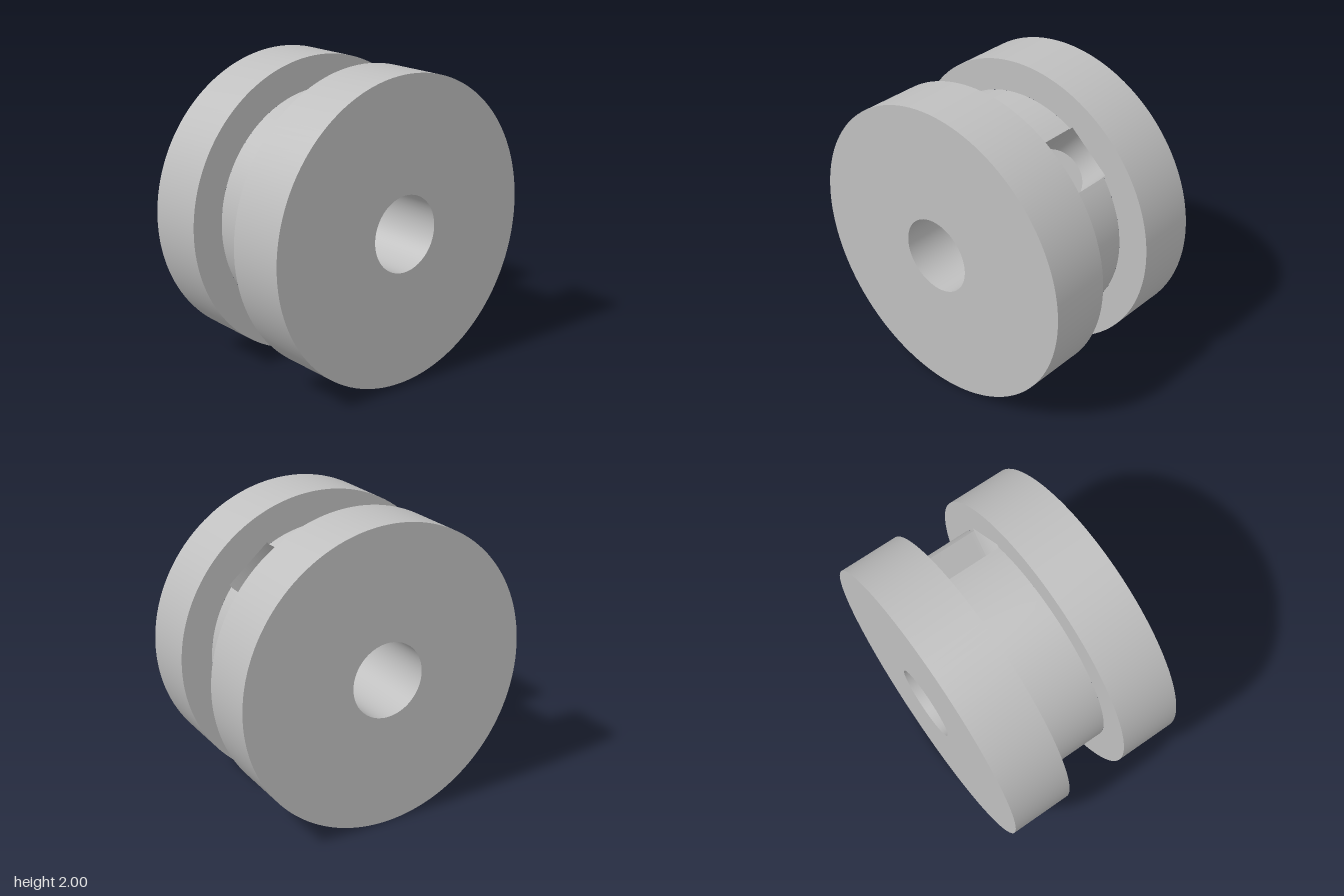
import * as THREE from 'three';
import { toCreasedNormals } from 'three/addons/utils/BufferGeometryUtils.js';

const R = 1, HUB = 0.79, BORE = 0.25;   // radii
const END = 0.62, GAP = 0.21;           // half width overall, half width of the groove
const W = 0.182, C = 0.178, FLOOR = 0.46; // slot half width, end-arc centre, floor height
const TILT = THREE.MathUtils.degToRad(40.5);
const T0 = Math.asin((GAP - C) / W);    // where the slot's end arc meets the flange

// half width of the slot at a given x
const slotWidth = x => Math.sqrt(W * W - Math.max(0, Math.abs(x) - C) ** 2);

export function createModel() {
  const grey = new THREE.MeshStandardMaterial({ color: 0xbfbfbf });
  grey.name = 'light grey';
  const model = new THREE.Group();
  model.name = 'spool';
  const body = new THREE.Group();
  body.name = 'body';
  body.position.y = 1;
  body.rotation.x = -TILT; // local +y points out of the slot
  model.add(body);

  const add = (name, geometry) => {
    const mesh = new THREE.Mesh(geometry, grey);
    mesh.name = name;
    body.add(mesh);
    return mesh;
  };

  // rims, end faces and bore
  const profile = [[R, GAP], [R, END], [BORE, END], [BORE, -END], [R, -END], [R, -GAP]]
    .map(p => new THREE.Vector2(...p));
  const shell = toCreasedNormals(new THREE.LatheGeometry(profile, 128), 0.5);
  add('flangesAndBore', shell.rotateZ(-Math.PI / 2));

  // inner flange faces, notched where the slot undercuts them
  const w = slotWidth(GAP), beta = Math.asin(w / HUB);
  const face = new THREE.Shape().absarc(0, 0, R, 0, Math.PI * 2);
  const hole = new THREE.Path();
  hole.absarc(0, 0, HUB, Math.PI / 2 + beta, Math.PI * 2.5 - beta, false);
  hole.lineTo(w, HUB);
  hole.lineTo(-w, HUB);
  hole.closePath();
  face.holes.push(hole);
  for (const s of [1, -1]) {
    const g = new THREE.ShapeGeometry(face, 128);
    g.rotateY(-s * Math.PI / 2).translate(s * GAP, 0, 0);
    add(s > 0 ? 'leftInnerFace' : 'rightInnerFace', g);
  }

  // hub surface, open at the slot
  const hub = new THREE.PlaneGeometry(1, 1, 120, 24);
  const pos = hub.attributes.position;
  for (let i = 0; i < pos.count; i++) {
    const x = pos.getY(i) * 2 * GAP;
    const b = Math.asin(slotWidth(x) / HUB);
    const a = b + (pos.getX(i) + 0.5) * (Math.PI * 2 - 2 * b);
    pos.setXYZ(i, x, HUB * Math.cos(a), HUB * Math.sin(a));
  }
  hub.computeVertexNormals();
  add('hub', hub);

  // slot wall: a stadium outline, taller where it runs under the flanges
  const ring = []; // x, z, top
  const top = z => Math.sqrt(HUB * HUB - z * z);
  for (const s of [1, -1]) {
    const put = (t, high) => {
      const z = s * W * Math.cos(t);
      ring.push([s * (C + W * Math.sin(t)), z, high ? HUB : top(z)]);
    };
    put(0, false);
    put(T0, false);
    for (let i = 0; i <= 28; i++) put(T0 + (Math.PI - 2 * T0) * i / 28, true);
    put(Math.PI - T0, false);
    put(Math.PI, false);
  }
  const verts = [], index = [];
  ring.forEach(([x, z, h], i) => {
    verts.push(x, FLOOR, z, x, h, z);
    const a = 2 * i, b = 2 * ((i + 1) % ring.length);
    index.push(a, a + 1, b, b, a + 1, b + 1);
  });
  const wall = new THREE.BufferGeometry();
  wall.setAttribute('position', new THREE.Float32BufferAttribute(verts, 3));
  wall.setIndex(index);
  wall.computeVertexNormals();
  add('slotWall', wall);

  // slot floor
  const outline = points => new THREE.ShapeGeometry(
    new THREE.Shape(points.map(([x, z]) => new THREE.Vector2(x, z))));
  add('slotFloor', outline(ring).rotateX(-Math.PI / 2).translate(0, FLOOR, 0));

  // ceilings of the undercuts inside the flanges
  for (const s of [1, -1]) {
    const end = ring.filter(p => p[2] === HUB && p[0] * s > 0);
    add(s > 0 ? 'leftUndercutCeiling' : 'rightUndercutCeiling',
      outline(end).rotateX(Math.PI / 2).translate(0, HUB, 0));
  }
  return model;
}
